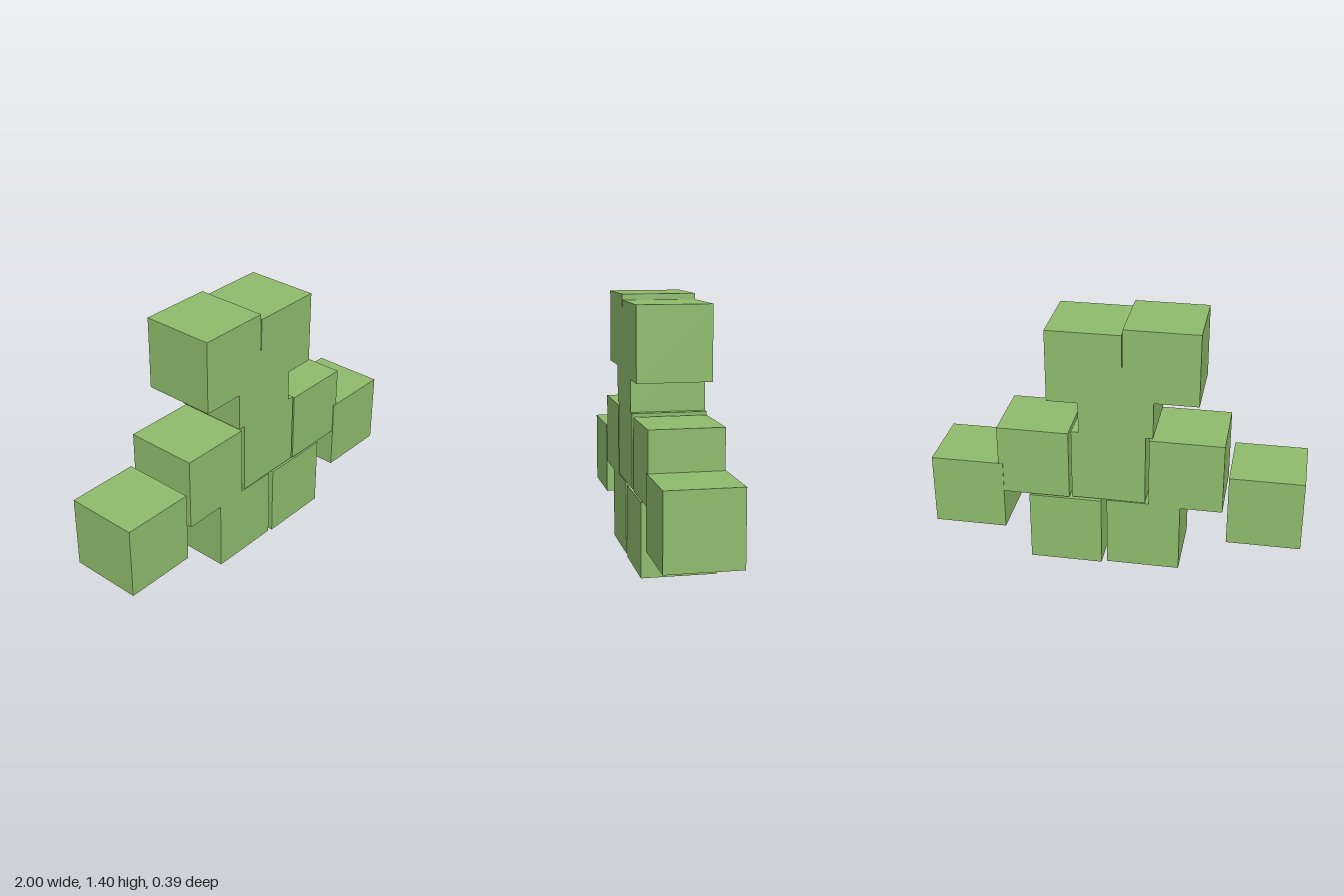
import * as THREE from 'three';

// Stacked cubes: name, centre x, centre y, edge length
const CUBES = [
  ['crownRight', -0.242, 1.203, 0.394],
  ['crownLeft', 0.158, 1.171, 0.394],
  ['neck', -0.008, 1.0, 0.394],
  ['core', 0.031, 0.607, 0.394],
  ['shoulderRight', -0.382, 0.591, 0.394],
  ['shoulderLeft', 0.438, 0.595, 0.386],
  ['footRight', -0.157, 0.208, 0.394],
  ['footLeft', 0.268, 0.198, 0.394],
  ['outerRight', -0.803, 0.408, 0.394],
  ['outerLeft', 0.803, 0.376, 0.394],
];

export function createModel() {
  const model = new THREE.Group();
  model.name = 'cubeCluster';
  const green = new THREE.MeshStandardMaterial({ color: 0x8fbb6c });
  for (const [name, x, y, size] of CUBES) {
    const cube = new THREE.Mesh(new THREE.BoxGeometry(size, size, size), green);
    cube.name = name;
    cube.position.set(x, y, 0);
    model.add(cube);
  }
  return model;
}
